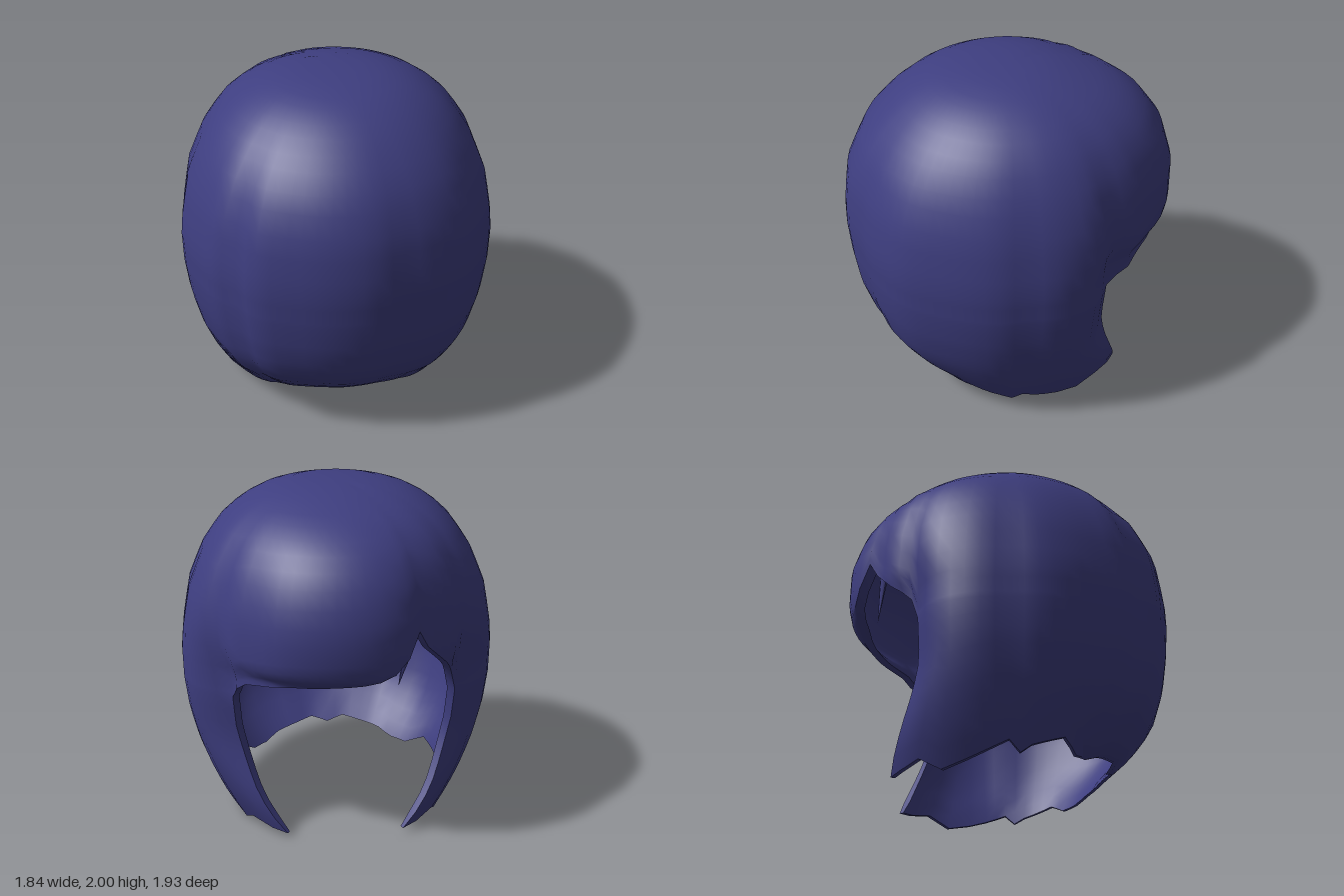
import * as THREE from 'three';
import { toCreasedNormals } from 'three/addons/utils/BufferGeometryUtils.js';

// Radius at each height toward the side, the front (+z) and the face opening (-z)
const LEVELS = [2, 1.985, 1.94, 1.86, 1.75, 1.6, 1.4, 1.2, 1.1, 1.05, 0.85, 0.65, 0.45, 0.3, 0.15, 0];
const SIDE = [0, 0.25, 0.42, 0.57, 0.69, 0.79, 0.875, 0.915, 0.93, 0.935, 0.93, 0.905, 0.855, 0.8, 0.735, 0.65];
const FRONT = [0, 0.24, 0.43, 0.58, 0.71, 0.84, 0.93, 0.96, 0.966, 0.967, 0.95, 0.92, 0.855, 0.74, 0.57, 0.45];
const BACK = [0, 0.22, 0.41, 0.63, 0.79, 0.9, 0.962, 0.963, 0.94, 0.88, 0.9, 0.88, 0.86, 0.83, 0.79, 0.75];

// Heights of the cut ends, as [angle from the front, y]
const CURTAIN_HEM = [[0, 0.17], [10, 0.2], [35, 0.15], [45, 0.11], [55, 0.1], [65, 0.16], [80, 0.1],
  [85, 0.06], [90, 0.12], [100, 0.07], [110, 0], [115, 0.07], [120, 0.04], [125, 0.03]];
const LEFT_BANG = [[125, 0.85], [132, 0.93], [140, 1], [160, 1.04], [180, 1.05]];
const RIGHT_BANG = [[125, 0.85], [130, 0.98], [140, 1.09], [150, 1.22], [155, 1.33], [160, 1.2],
  [165, 1.12], [172, 1.06], [180, 1.05]];
// Dips (and bulges, where negative) between locks, as [angle, depth, width]
const CREASES = [[20, 0.02, 6], [45, -0.02, 10], [-48, -0.02, 7], [-30, -0.025, 7], [-40, 0.02, 4],
  [90, 0.022, 6], [-90, 0.022, 6], [126, 0.06, 7], [-130, 0.06, 8], [142, 0.035, 10], [-148, 0.08, 12]];

const EDGE = 125, STEP = 5, COLS = 72, CAP_LEVEL = 9, CAP_ROWS = 18, ROWS = 27;
const { lerp, clamp, smoothstep, degToRad } = THREE.MathUtils;

function lookup(table, x) {
  let k = 1;
  while (k < table.length - 1 && x > table[k][0]) k++;
  const [x0, y0] = table[k - 1], [x1, y1] = table[k];
  return lerp(y0, y1, clamp((x - x0) / (x1 - x0), 0, 1));
}
const profile = (radii) => LEVELS.map((y, k) => [2 - y, radii[k]]);
const side = profile(SIDE), front = profile(FRONT), back = profile(BACK);

const angleOf = (i) => {
  const a = (((i % COLS) + COLS) % COLS) * STEP;
  return a > 180 ? a - 360 : a;
};

// A point on the outer hair surface for a column angle and a height
function surfacePoint(angle, y) {
  const abs = Math.abs(angle);
  // side locks sweep toward the face near their tips
  const sweep = abs <= EDGE ? smoothstep(abs, 98, EDGE) : 0;
  // the border of the face opening curls inward
  const curl = Math.exp(-(((abs - EDGE) / 8) ** 2)) * (1 - smoothstep(y, 0.85, 1.3)) * smoothstep(y, 0.1, 0.6);
  const shift = 27 * Math.pow(Math.max(0, 0.65 - y) / 0.62, 1.5) * sweep + 3 * curl;
  const t = degToRad(Math.sign(angle) * (abs + shift));
  const s = Math.sin(t), c = Math.cos(t);
  const a = lookup(side, 2 - y), b = lookup(c > 0 ? front : back, 2 - y);
  let r = a > 0 ? 1 / Math.hypot(s / a, c / b) : 0;
  const fade = clamp((2 - y) / 0.7, 0, 1) * lerp(0.3, 1, smoothstep(y, 0, 0.5));
  for (const [at, depth, width] of CREASES) r *= 1 - depth * fade * Math.exp(-(((angle - at) / width) ** 2));
  r *= 1 - 0.07 * curl;
  return new THREE.Vector3(r * s, y, r * c);
}

// Row heights: crown and bangs first, then the curtain down to its tips
function rowHeight(angle, j) {
  const abs = Math.abs(angle);
  const cut = lookup(angle > 0 ? LEFT_BANG : RIGHT_BANG, abs);
  if (j > CAP_ROWS) {
    return lerp(cut, lookup(CURTAIN_HEM, abs), (j - CAP_ROWS) / (ROWS - CAP_ROWS));
  }
  const k = j / 2, f = Math.floor(k);
  const level = lerp(LEVELS[f], LEVELS[Math.min(f + 1, CAP_LEVEL)], k - f);
  return 2 - (2 - level) * (2 - cut) / (2 - LEVELS[CAP_LEVEL]);
}

function hairGeometry() {
  const positions = [], index = [];
  const layer = COLS * (ROWS + 1);
  const id = (j, i) => j * COLS + ((i + COLS) % COLS);
  const isCurtain = (i) => Math.abs(angleOf(i)) <= EDGE && Math.abs(angleOf(i + 1)) <= EDGE;
  const exists = (j, i) => j < CAP_ROWS || (j < ROWS && isCurtain(i));

  // outer layer, then the inner lining
  for (const inner of [false, true]) {
    for (let j = 0; j <= ROWS; j++) {
      for (let i = 0; i < COLS; i++) {
        const angle = angleOf(i);
        const p = surfacePoint(angle, rowHeight(angle, j));
        if (inner) {
          const k = j === ROWS ? 0.965 : 0.94;
          p.set(p.x * k, p.y > 1 ? 1 + (p.y - 1) * k : p.y, p.z * k);
        }
        positions.push(p.x, p.y, p.z);
      }
    }
  }
  const rim = (p, q) => index.push(q, p, p + layer, q, p + layer, q + layer);
  for (let j = 0; j < ROWS; j++) {
    for (let i = 0; i < COLS; i++) {
      if (!exists(j, i)) continue;
      const a = id(j, i), b = id(j + 1, i), c = id(j + 1, i + 1), d = id(j, i + 1);
      index.push(a, b, c, a + layer, c + layer, b + layer);
      if (j > 0) index.push(a, c, d, a + layer, d + layer, c + layer);
      // close the cut ends
      if (!exists(j + 1, i)) rim(b, c);
      if (!exists(j, i + 1)) rim(c, d);
      if (!exists(j, i - 1)) rim(a, b);
    }
  }
  const geometry = new THREE.BufferGeometry();
  geometry.setAttribute('position', new THREE.Float32BufferAttribute(positions, 3));
  geometry.setIndex(index);
  return toCreasedNormals(geometry, 0.9);
}

export function createModel() {
  const group = new THREE.Group();
  group.name = 'bobHair';
  const indigo = new THREE.MeshStandardMaterial({ color: 0x3e3e80 });
  indigo.name = 'indigo hair';

  const hair = new THREE.Mesh(hairGeometry(), indigo);
  hair.name = 'hairShell';
  group.add(hair);

  // small loose lock hanging in the parting
  const lock = new THREE.Mesh(new THREE.ConeGeometry(0.06, 0.36, 8), indigo);
  lock.name = 'looseLock';
  lock.scale.z = 0.45;
  lock.rotation.set(Math.PI, degToRad(25), -0.28, 'YXZ');
  lock.position.set(-0.32, 1.17, -0.74);
  group.add(lock);
  return group;
}
